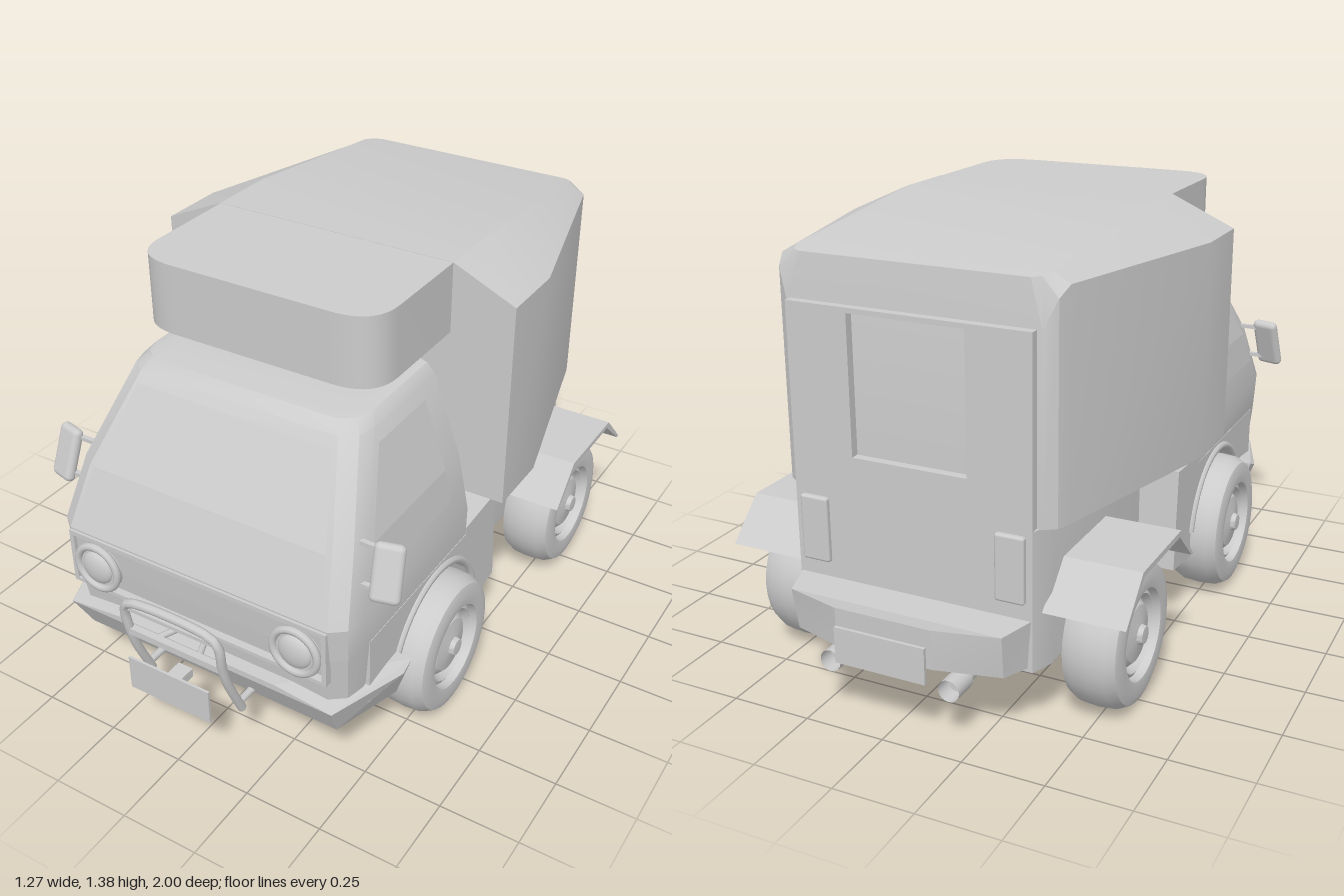
import * as THREE from 'three';
import { toCreasedNormals } from 'three/addons/utils/BufferGeometryUtils.js';
import { RoundedBoxGeometry } from 'three/addons/geometries/RoundedBoxGeometry.js';
import { ConvexGeometry } from 'three/addons/geometries/ConvexGeometry.js';

const SIDES = [1, -1];

export function createModel() {
  const model = new THREE.Group();
  const mat = new THREE.MeshStandardMaterial({ color: 0xcccccc });
  const thin = new THREE.MeshStandardMaterial({ color: 0xcccccc, side: THREE.DoubleSide });
  const V = (x, y, z) => new THREE.Vector3(x, y, z);

  function add(name, geo, x = 0, y = 0, z = 0, material = mat) {
    const mesh = new THREE.Mesh(geo, material);
    mesh.name = name;
    mesh.position.set(x, y, z);
    model.add(mesh);
    return mesh;
  }
  const box = (name, w, h, d, x, y, z) => add(name, new THREE.BoxGeometry(w, h, d), x, y, z);

  // Mirrored loft: each level lists the +x half outline from front to back
  function loft(name, levels, crease = 0.45) {
    const p = [];
    const rings = levels.map(h => [...h, ...h.map(([x, y, z]) => [-x, y, z]).reverse()]);
    const quad = (a, b, c, d) => p.push(...a, ...b, ...c, ...a, ...c, ...d);
    const n = rings[0].length;
    for (let l = 0; l + 1 < rings.length; l++)
      for (let i = 0; i < n; i++) {
        const j = (i + 1) % n;
        quad(rings[l][i], rings[l][j], rings[l + 1][j], rings[l + 1][i]);
      }
    const top = rings[rings.length - 1], bottom = rings[0];
    for (let i = 0; i < n / 2 - 1; i++) {
      quad(top[i], top[i + 1], top[n - 2 - i], top[n - 1 - i]);
      quad(bottom[n - 1 - i], bottom[n - 2 - i], bottom[i + 1], bottom[i]);
    }
    const g = new THREE.BufferGeometry();
    g.setAttribute('position', new THREE.Float32BufferAttribute(p, 3));
    return add(name, toCreasedNormals(g, crease));
  }

  // Thin strip through rows of [left, right] points
  function strip(name, rows) {
    const p = [];
    for (let i = 0; i + 1 < rows.length; i++) {
      const [a, b] = rows[i], [d, c] = rows[i + 1];
      p.push(...a, ...b, ...c, ...a, ...c, ...d);
    }
    const g = new THREE.BufferGeometry();
    g.setAttribute('position', new THREE.Float32BufferAttribute(p, 3));
    g.computeVertexNormals();
    add(name, g, 0, 0, 0, thin);
  }

  // Side profile (z, y) extruded from x0 to x1 on both sides
  function sideSlabs(name, pts, x0, x1) {
    const shape = new THREE.Shape(pts.map(([z, y]) => new THREE.Vector2(z, y)));
    const g = new THREE.ExtrudeGeometry(shape, { depth: x1 - x0, bevelEnabled: false });
    g.rotateY(-Math.PI / 2);
    add(name, g, x1);
    add(name, g, -x0);
  }

  // Rectangular frame facing z
  function frame(name, [x, y0, y1], [hx, hy0, hy1], depth, z) {
    const rect = (C, w, a, b) => new C([[-w, a], [w, a], [w, b], [-w, b]].map(q => new THREE.Vector2(...q)));
    const s = rect(THREE.Shape, x, y0, y1);
    s.holes.push(rect(THREE.Path, hx, hy0, hy1));
    add(name, new THREE.ExtrudeGeometry(s, { depth, bevelEnabled: false }), 0, 0, z);
  }

  const tube = (name, pts, r) =>
    add(name, new THREE.TubeGeometry(new THREE.CatmullRomCurve3(pts, false, 'centripetal'), 32, r, 8));

  // Cab shell, windscreen and side windows
  const cabLevel = ([y, w, zf]) => {
    const zb = 0.165 + 0.035 * (y - 0.5) / 0.6;
    return [[w - 0.06, y, zf], [w - 0.015, y, zf - 0.035], [w, y, zf - 0.09], [w, y, zb]];
  };
  loft('cab', [[0.5, 0.505, 0.862], [0.61, 0.51, 0.87], [0.8, 0.478, 0.79], [1.06, 0.395, 0.625],
    [1.09, 0.37, 0.59], [1.1, 0.34, 0.5]].map(cabLevel));
  strip('windscreen', [[0.66, 0.43, 0.853], [0.8, 0.4, 0.794], [1.03, 0.33, 0.648]]
    .map(([y, w, z]) => [[-w, y, z], [w, y, z]]));
  for (const s of SIDES)
    strip('sideWindow', [[0.69, 0.5, 0.27, 0.73], [0.8, 0.482, 0.275, 0.68], [1.02, 0.412, 0.28, 0.54]]
      .map(([y, x, z0, z1]) => [[s * x, y, z1], [s * x, y, z0]]));

  // Lower cab: nose, side panels with wheel arches, arch lips
  loft('nose', [[0.3, 0.49, 0.84], [0.5, 0.505, 0.862]].map(([y, w, z]) =>
    [[w - 0.06, y, z], [w - 0.015, y, z - 0.035], [w, y, z - 0.09], [w, y, 0.64]]));
  const arch = [];
  for (let i = 0; i <= 14; i++) {
    const a = 0.2 + (Math.PI - 0.32) * i / 14;
    arch.push([0.355 + 0.25 * Math.cos(a), 0.23 + 0.25 * Math.sin(a)]);
  }
  sideSlabs('lowerCabPanel', [[0.74, 0.505], [0.74, 0.28], ...arch, [0.11, 0.19], [-0.05, 0.21],
    [-0.03, 0.54], [0.165, 0.53], [0.165, 0.505]], 0.36, 0.507);
  for (const s of SIDES) {
    const lip = new THREE.TorusGeometry(0.255, 0.012, 6, 20, Math.PI - 0.6).rotateZ(0.4).rotateY(-Math.PI / 2);
    add('archLip', lip, s * 0.507, 0.23, 0.355);
  }

  // Headlight panel and round headlights
  frame('headlightPanel', [0.45, 0.42, 0.605], [0.435, 0.432, 0.59], 0.025, 0.853);
  for (const s of SIDES) {
    const x = s * 0.35, y = 0.505;
    add('headlightBase', new THREE.CylinderGeometry(0.078, 0.078, 0.04, 32).rotateX(Math.PI / 2), x, y, 0.86);
    add('headlightRim', new THREE.TorusGeometry(0.073, 0.012, 8, 32), x, y, 0.88);
    const lens = new THREE.SphereGeometry(0.055, 24, 8, 0, Math.PI * 2, 0, Math.PI / 2).rotateX(Math.PI / 2);
    add('headlightLens', lens.scale(1, 1, 0.4), x, y, 0.878);
  }

  // Front bumper: wedge that wraps round the corners
  add('frontBumper', new ConvexGeometry(SIDES.flatMap(s => [
    V(s * 0.28, 0.35, 0.885), V(s * 0.47, 0.33, 0.885), V(s * 0.56, 0.355, 0.59), V(s * 0.56, 0.335, 0.64),
    V(s * 0.45, 0.215, 0.825), V(s * 0.51, 0.2, 0.59)])));

  // Bull bar with struts and front plate
  const upright = s => [V(s * 0.165, 0.21, 0.89), V(s * 0.165, 0.34, 0.945), V(s * 0.165, 0.42, 0.968),
    V(s * 0.165, 0.51, 0.98), V(s * 0.14, 0.535, 0.982)];
  tube('bullBarHoop', [...upright(-1), ...upright(1).reverse()], 0.014);
  box('bullBarCrossbar', 0.32, 0.022, 0.022, 0, 0.42, 0.968);
  box('bullBarUpperBar', 0.32, 0.012, 0.012, 0, 0.51, 0.978);
  for (const s of SIDES) {
    tube('bullBarStrut', [V(s * 0.03, 0.415, 0.85), V(s * 0.08, 0.415, 0.968)], 0.01);
    tube('bullBarSideStrut', [V(s * 0.165, 0.24, 0.82), V(s * 0.165, 0.24, 0.91)], 0.012);
  }
  box('frontPlate', 0.286, 0.115, 0.008, -0.013, 0.278, 0.993);
  box('frontPlateBracket', 0.05, 0.03, 0.06, 0, 0.31, 0.96);

  // Wing mirrors
  for (const s of SIDES) {
    const m = add('wingMirror', new RoundedBoxGeometry(0.088, 0.17, 0.035, 3, 0.017), s * 0.556, 0.765, 0.735);
    m.rotation.set(-0.35, s * 0.25, s * 0.08);
    for (const [y, z] of [[0.82, 0.715], [0.71, 0.75]]) box('mirrorArm', 0.1, 0.012, 0.015, s * 0.51, y, z);
  }

  // Living box: tapered to the rear with a sloping roof
  const plan = [[0.6, 0.12], [0.6, -0.1], [0.44, -0.72], [0.425, -0.76], [0.39, -0.785]];
  const eaves = [1.29, 1.29, 1.29, 1.26, 1.18];
  const roof = [[0.4, 1.38, 0.12], [0.4, 1.38, -0.1], [0.39, 1.318, -0.72], [0.375, 1.312, -0.755], [0.35, 1.31, -0.77]];
  loft('livingBox', [plan.map(([x, z]) => [x, 0.63, z]), plan.map(([x, z], i) => [x, eaves[i], z]), roof], 0.4);
  frame('rearWall', [0.375, 0.63, 1.18], [0.18, 0.75, 1.165], 0.027, -0.812);

  // Overcab berth with rounded front corners
  const berth = new THREE.Shape();
  berth.moveTo(-0.4, -0.1);
  berth.lineTo(0.4, -0.1);
  berth.lineTo(0.4, -0.42);
  berth.quadraticCurveTo(0.4, -0.545, 0.26, -0.545);
  berth.lineTo(-0.26, -0.545);
  berth.quadraticCurveTo(-0.4, -0.545, -0.4, -0.42);
  const berthGeo = new THREE.ExtrudeGeometry(berth, { depth: 0.219, bevelEnabled: false }).rotateX(-Math.PI / 2);
  add('overcabBerth', toCreasedNormals(berthGeo, 0.6), 0, 1.16, 0);

  // Rear lower body, bumper, plate and lamps
  loft('rearBody', [0.21, 0.632].map(y => [[0.4, y, -0.09], [0.4, y, -0.74], [0.375, y, -0.812]]));
  loft('rearBumper', [
    [[0.39, 0.212, -0.72], [0.33, 0.23, -0.9], [0.15, 0.25, -0.975]],
    [[0.4, 0.37, -0.72], [0.335, 0.362, -0.92], [0.15, 0.372, -0.98]]], 0.2);
  box('rearPlate', 0.285, 0.11, 0.01, 0, 0.268, -0.994);
  box('rearPlateBracket', 0.1, 0.04, 0.03, 0, 0.29, -0.98);
  for (const s of SIDES) add('tailLamp', new RoundedBoxGeometry(0.09, 0.2, 0.025, 2, 0.008), s * 0.31, 0.515, -0.815);

  // Rear wheel fenders
  sideSlabs('rearFender', [[-0.25, 0.385], [-0.365, 0.505], [-0.665, 0.505], [-0.785, 0.385],
    [-0.77, 0.385], [-0.655, 0.487], [-0.375, 0.487], [-0.265, 0.385]], 0.39, 0.635);

  // Chassis, gearbox and exhausts
  box('chassisBeam', 0.5, 0.15, 0.16, 0, 0.3, -0.06);
  box('engineCover', 0.36, 0.2, 0.36, 0, 0.42, 0.2);
  add('gearbox', new THREE.CylinderGeometry(0.08, 0.08, 0.18, 20).rotateX(Math.PI / 2), 0, 0.3, 0.1);
  for (const z of [0.355, -0.515])
    add('axle', new THREE.CylinderGeometry(0.025, 0.025, 0.86, 12).rotateZ(Math.PI / 2), 0, 0.24, z);
  for (const s of SIDES) {
    add('exhaustPipe', new THREE.CylinderGeometry(0.026, 0.026, 0.2, 16).rotateX(Math.PI / 2), s * 0.19, 0.185, -0.81);
    const tip = new THREE.CylinderGeometry(0.033, 0.033, 0.08, 16, 1, true).rotateX(Math.PI / 2);
    add('exhaustTip', tip, s * 0.19, 0.183, -0.915, thin);
  }
  box('hangingTag', 0.067, 0.055, 0.004, 0.187, 0.075, 0.05);

  // Wheels: tyre, rim and hub turned from one profile
  const profile = [[0, -0.07], [0.12, -0.08], [0.17, -0.09], [0.205, -0.08], [0.221, -0.05], [0.225, 0], [0.221, 0.05],
    [0.205, 0.08], [0.175, 0.09], [0.138, 0.085], [0.132, 0.06], [0.118, 0.068], [0.105, 0.045], [0.085, 0.065],
    [0.03, 0.075], [0.026, 0.09], [0, 0.092]].map(q => new THREE.Vector2(...q));
  const wheelGeo = toCreasedNormals(new THREE.LatheGeometry(profile, 32).rotateZ(-Math.PI / 2), 0.6);
  for (const s of SIDES)
    for (const [name, z] of [['frontWheel', 0.355], ['rearWheel', -0.515]]) {
      const w = add(name, wheelGeo, s * 0.5, 0.23, z);
      if (s < 0) w.rotation.y = Math.PI;
    }

  return model;
}
